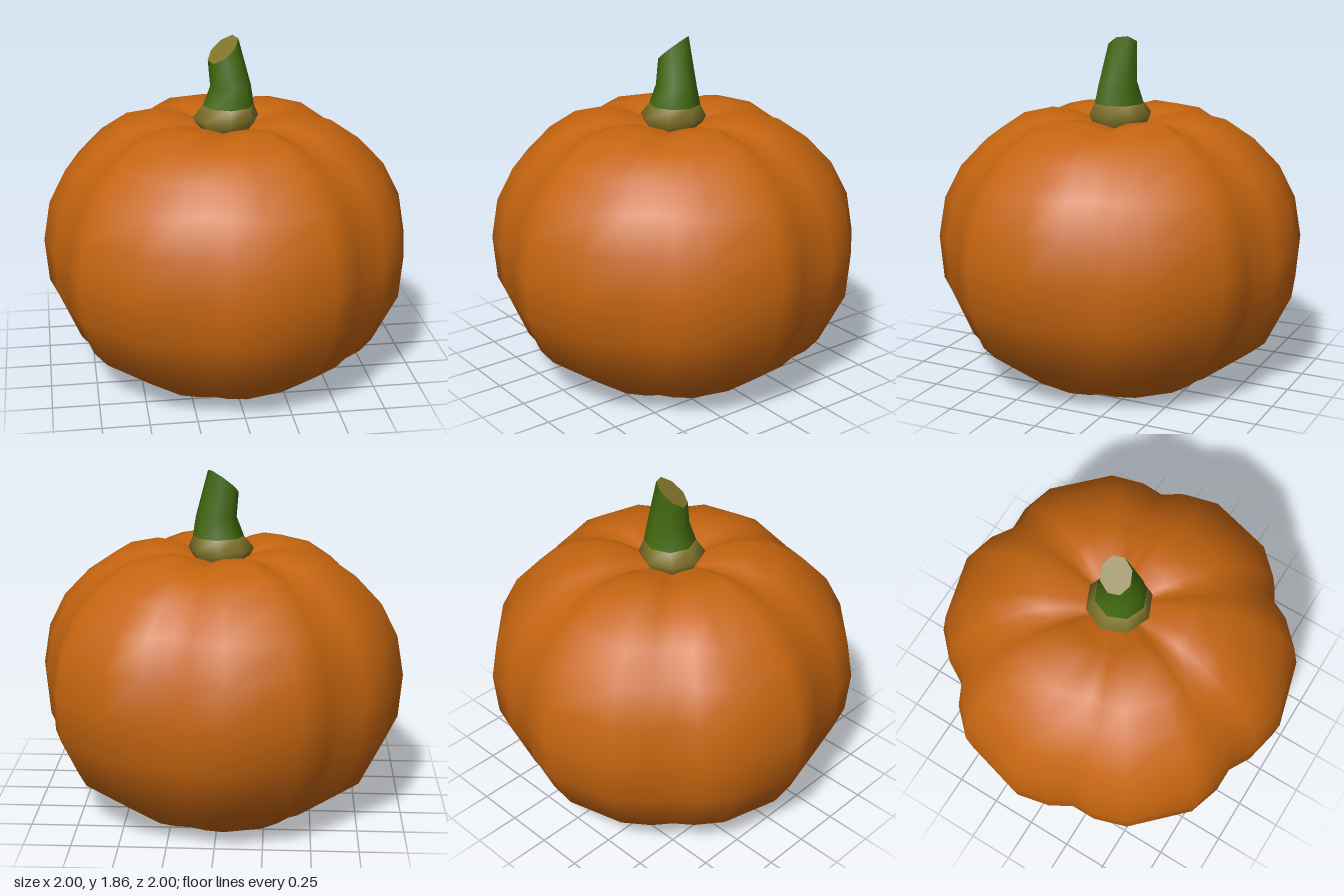
import * as THREE from 'three';
import { mergeVertices } from 'three/addons/utils/BufferGeometryUtils.js';

// Skins a stack of closed rings (bottom to top) with smooth normals
function loft(rings) {
  const n = rings[0].length;
  const index = [];
  for (let i = 0; i < rings.length - 1; i++) {
    for (let j = 0; j < n; j++) {
      const a = i * n + j, b = i * n + (j + 1) % n;
      index.push(a, a + n, b, b, a + n, b + n);
    }
  }
  let geo = new THREE.BufferGeometry();
  geo.setAttribute('position', new THREE.Float32BufferAttribute(rings.flat(2), 3));
  geo.setIndex(index);
  geo = mergeVertices(geo, 1e-5);
  geo.computeVertexNormals();
  return geo;
}

// Six lobes: [angle offset from lobe centre, groove amount]
const LOBE = [[-30, 1], [-22, 0.45], [-11, 0], [11, 0], [22, 0.45]];
// Body profile: [radius, height, groove depth as share of radius, groove height change]
const PROFILE = [
  [0, 0.015, 0, 0], [0.3, 0.005, 0.04, 0.008], [0.55, 0, 0.04, 0.008],
  [0.845, 0.22, 0.045, 0], [0.983, 0.5, 0.08, 0], [1.003, 0.74, 0.095, 0],
  [0.965, 0.96, 0.095, 0], [0.873, 1.14, 0.1, 0], [0.73, 1.29, 0.105, -0.01],
  [0.575, 1.395, 0.11, -0.03], [0.4, 1.44, 0.11, -0.05], [0.27, 1.428, 0.1, -0.045],
  [0.13, 1.38, 0, -0.01], [0, 1.37, 0, 0],
];

function bodyGeometry() {
  return loft(PROFILE.map(([r, y, depth, lift]) => {
    const ring = [];
    for (let k = 0; k < 6; k++) {
      for (const [offset, g] of LOBE) {
        const a = THREE.MathUtils.degToRad(15 + k * 60 + offset);
        const rad = r * (1 - depth * g);
        ring.push([rad * Math.cos(a), y + lift * g, rad * Math.sin(a)]);
      }
    }
    return ring;
  }));
}

// Octagonal stem section; height may be a number or a function of x and z
function octagon(cx, cz, r, height) {
  return Array.from({ length: 8 }, (_, j) => {
    const a = j * Math.PI / 4;
    const x = cx + r * Math.cos(a), z = cz + r * Math.sin(a);
    return [x, typeof height === 'number' ? height : height(x, z), z];
  });
}

export function createModel() {
  const orange = new THREE.MeshStandardMaterial({ color: 0xc4640f });
  const green = new THREE.MeshStandardMaterial({ color: 0x42690f });
  const olive = new THREE.MeshStandardMaterial({ color: 0x80732a });
  orange.name = 'orange skin';
  green.name = 'green stem';
  olive.name = 'olive stem wood';

  const model = new THREE.Group();
  model.name = 'pumpkin';
  const add = (name, geometry, material) => {
    const mesh = new THREE.Mesh(geometry, material);
    mesh.name = name;
    model.add(mesh);
  };

  add('body', bodyGeometry(), orange);

  // Flared collar where the stem meets the body
  const neck = octagon(0.015, 0, 0.138, 1.495);
  add('stemCollar', loft([
    octagon(0, 0, 0.145, 1.37), octagon(0, 0, 0.178, 1.43), neck,
  ]), olive);

  // Leaning stem ending in a slanted cut
  const slant = (x, z) => 1.795 + 0.7 * (x + 0.012) - 0.4 * (z + 0.01);
  const rim = octagon(-0.012, -0.01, 0.082, slant);
  add('stem', loft([neck, octagon(0.027, 0, 0.11, 1.6), rim]), green);

  // Cut face closing the stem
  const tip = octagon(-0.012, -0.01, 0, slant);
  add('stemCut', loft([rim, tip]), olive);

  return model;
}
